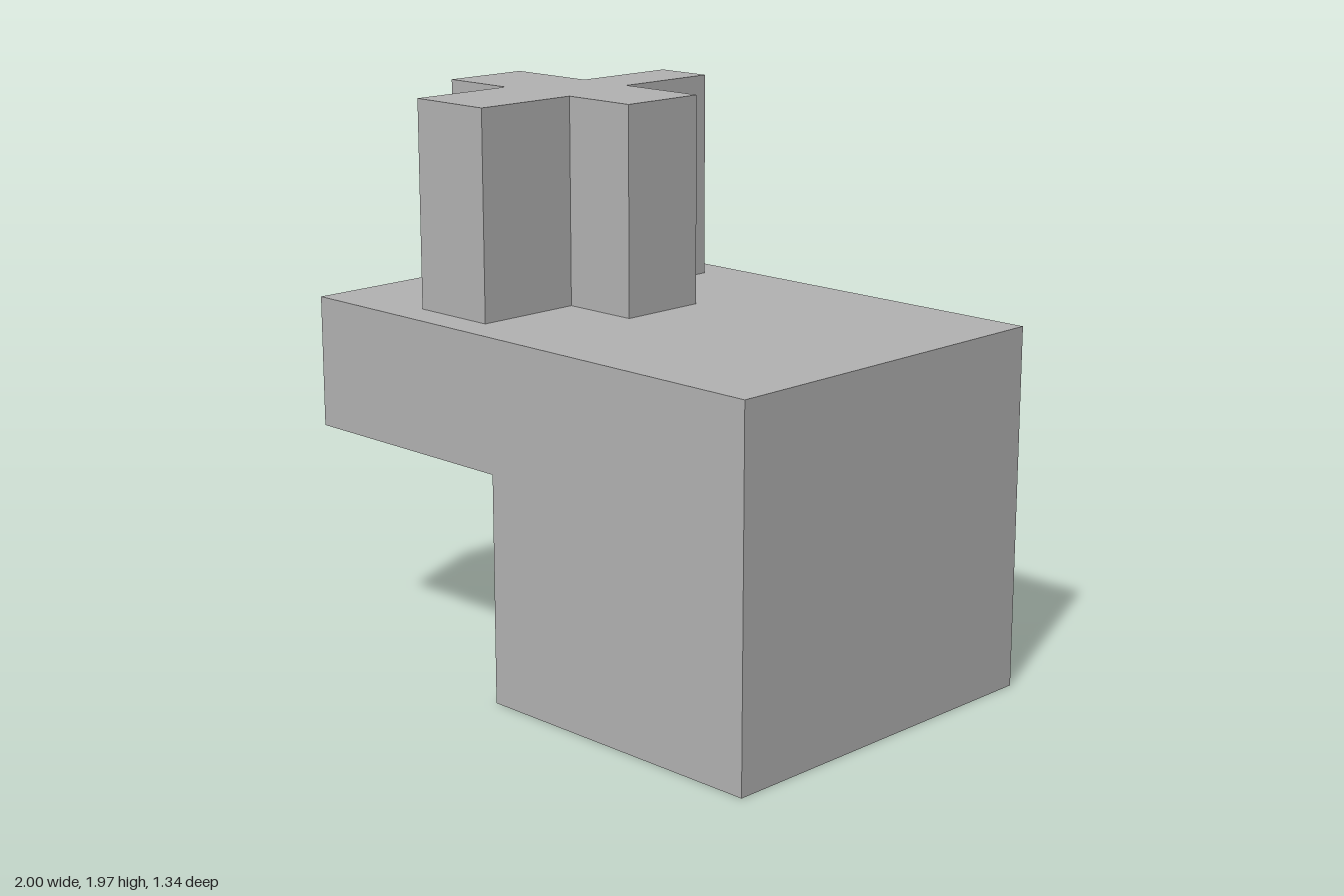
import * as THREE from 'three';

const TOP = 1.255, SHELF = 0.795, SOCKET = 0.73, PEG_TOP = 1.97, HALF_Z = 0.67, LEG_X = -0.12;

const outline = (pts) => pts.map(([x, y]) => new THREE.Vector2(x, y));

// Cross outline in the x/z plane; the front and back arms may differ in width
function cross({ x0, x1, z, arm, front, back }) {
  return outline([
    [x0, -arm], [back[0], -arm], [back[0], -z], [back[1], -z], [back[1], -arm], [x1, -arm],
    [x1, arm], [front[1], arm], [front[1], z], [front[0], z], [front[0], arm], [x0, arm],
  ]);
}

// Upright prism from an x/z outline, between two heights
function prism(shape, bottom, top) {
  const g = new THREE.ExtrudeGeometry(shape, { depth: top - bottom, bevelEnabled: false });
  return g.rotateX(Math.PI / 2).translate(0, top, 0);
}

export function createModel() {
  const group = new THREE.Group();
  const grey = new THREE.MeshStandardMaterial({ color: 0xb3b3b3 });
  grey.name = 'plain grey';
  const add = (name, geometry) => {
    const mesh = new THREE.Mesh(geometry, grey);
    mesh.name = name;
    group.add(mesh);
  };

  // Overhanging body: stepped side profile run from back to front
  const profile = new THREE.Shape(outline([
    [LEG_X, SOCKET], [1, SOCKET], [1, TOP], [-1, TOP], [-1, SHELF], [LEG_X, SHELF],
  ]));
  const body = new THREE.ExtrudeGeometry(profile, { depth: 2 * HALF_Z, bevelEnabled: false });
  add('body', body.translate(0, 0, -HALF_Z));

  // Lower block with a cross-shaped socket open underneath
  const block = new THREE.Shape(outline([
    [LEG_X, -HALF_Z], [1, -HALF_Z], [1, HALF_Z], [LEG_X, HALF_Z],
  ]));
  block.holes.push(new THREE.Path(cross({
    x0: -0.005, x1: 0.885, z: 0.445, arm: 0.15, front: [0.31, 0.57], back: [0.31, 0.57],
  })));
  add('socketBlock', prism(block, 0, SOCKET));

  // Cross-shaped peg on top, with a narrower back arm
  const peg = new THREE.Shape(cross({
    x0: -0.88, x1: 0, z: 0.55, arm: 0.16, front: [-0.6, -0.28], back: [-0.545, -0.335],
  }));
  add('peg', prism(peg, TOP, PEG_TOP));

  return group;
}
